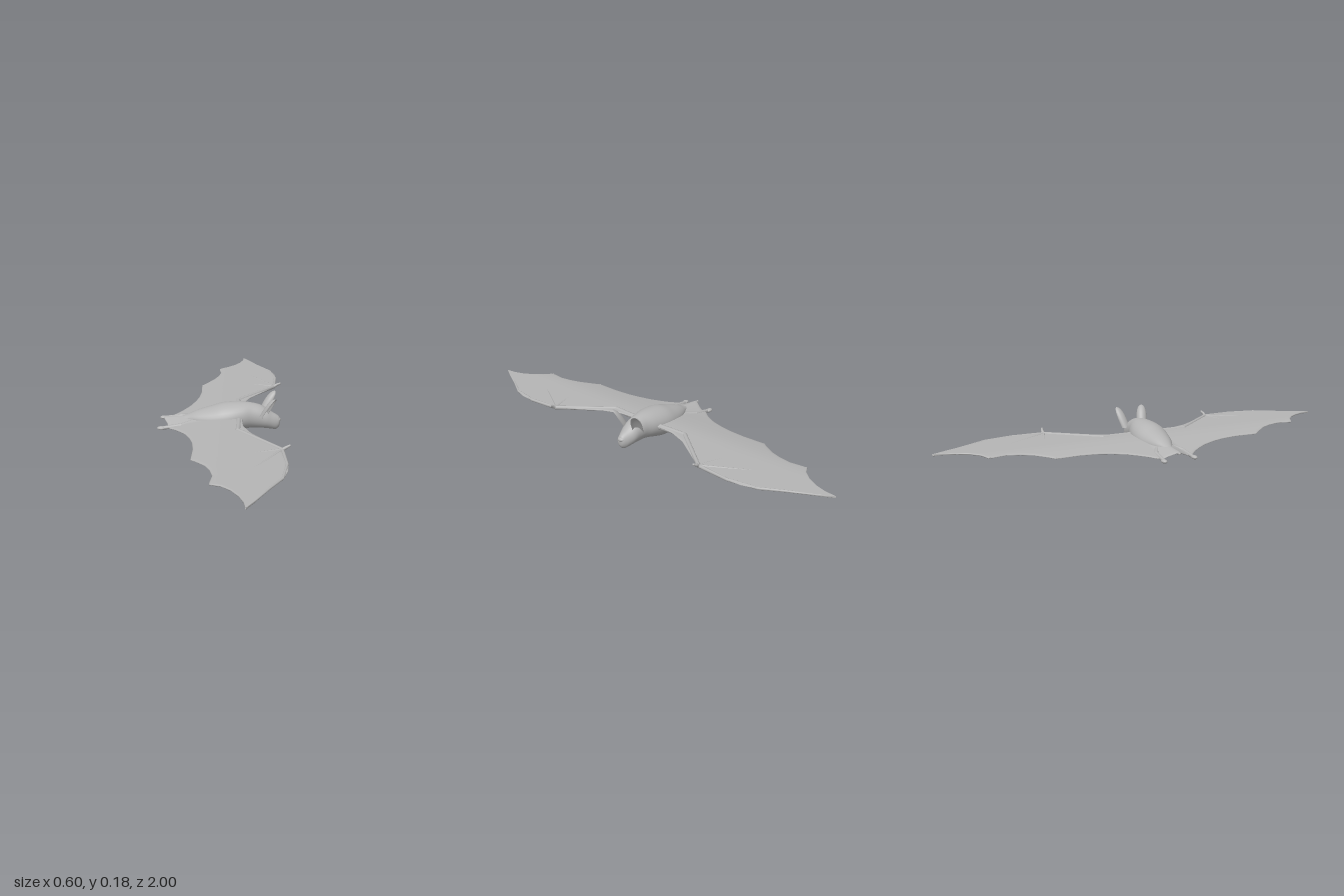
import * as THREE from 'three';

const grey = new THREE.MeshStandardMaterial({ color: 0xb4b4b4, side: THREE.DoubleSide });
grey.name = 'bat grey';

// Closed skin over a list of rings, each with the same number of points
function loft(rings) {
  const n = rings[0].length, pos = rings.flat(2), index = [];
  for (let i = 0; i < rings.length - 1; i++) {
    for (let j = 0; j < n; j++) {
      const a = i * n + j, b = i * n + (j + 1) % n;
      index.push(a, b, a + n, b, b + n, a + n);
    }
  }
  const g = new THREE.BufferGeometry();
  g.setAttribute('position', new THREE.Float32BufferAttribute(pos, 3));
  g.setIndex(index);
  g.computeVertexNormals();
  return g;
}

function add(parent, name, geometry) {
  const mesh = new THREE.Mesh(geometry, grey);
  mesh.name = name;
  parent.add(mesh);
  return mesh;
}

// Linear lookup in a list of [key, value] pairs
function lookup(table, k) {
  let i = 1;
  while (i < table.length - 1 && table[i][0] < k) i++;
  const [k0, v0] = table[i - 1], [k1, v1] = table[i];
  return v0 + (v1 - v0) * THREE.MathUtils.clamp((k - k0) / (k1 - k0), 0, 1);
}

// Tapered bone with rounded joints through a list of points
function bone(parent, name, points, r0, r1) {
  const group = new THREE.Group();
  group.name = name;
  const last = points.length - 1;
  const radius = i => r0 + (r1 - r0) * i / last;
  points.forEach((p, i) => {
    const v = new THREE.Vector3(...p);
    add(group, 'joint', new THREE.SphereGeometry(radius(i), 12, 8)).position.copy(v);
    if (i === last) return;
    const d = new THREE.Vector3(...points[i + 1]).sub(v);
    const shaft = add(group, 'shaft', new THREE.CylinderGeometry(radius(i + 1), radius(i), d.length(), 10, 1, true));
    shaft.position.copy(v).addScaledVector(d, 0.5);
    shaft.quaternion.setFromUnitVectors(new THREE.Vector3(0, 1, 0), d.normalize());
  });
  parent.add(group);
}

// Membrane height: level across the wing, drooping towards the feet, lifted at the tail
function wingY(x, z) {
  const droop = THREE.MathUtils.smoothstep(-x, -0.05, 0.32);
  const tail = Math.max(0, 1 - Math.abs(z) / 0.06);
  return 0.085 - droop * (0.045 - 0.03 * tail);
}

// Wing outline as [distance from the middle, x]
const leading = [[0, 0.1], [0.09, 0.095], [0.16, 0.1], [0.25, 0.135], [0.44, 0.265], [0.47, 0.265],
  [0.53, 0.275], [0.6, 0.28], [0.67, 0.275], [0.735, 0.255], [0.83, 0.2], [0.94, 0.142], [1, 0.107]];
const trailing = [[0, -0.28], [0.04, -0.258], [0.09, -0.245], [0.12, -0.215], [0.155, -0.19], [0.2, -0.163],
  [0.26, -0.14], [0.32, -0.125], [0.4, -0.117], [0.5, -0.12], [0.52, -0.118], [0.54, -0.1], [0.6, -0.057],
  [0.65, -0.036], [0.71, -0.023], [0.77, -0.032], [0.79, -0.03], [0.81, 0.01], [0.85, 0.05], [0.9, 0.08],
  [0.95, 0.098], [1, 0.105]];

function membrane() {
  const rings = [];
  for (let i = -100; i <= 100; i++) {
    const z = i / 100, d = Math.abs(z);
    const front = lookup(leading, d), back = lookup(trailing, d), ring = [];
    for (let j = 0; j < 40; j++) {
      const a = j / 40 * Math.PI * 2;
      const x = (front + back) / 2 + (front - back) / 2 * Math.cos(a);
      ring.push([x, wingY(x, z) + 0.004 * THREE.MathUtils.clamp(Math.sin(a) * 3, -1, 1), z]);
    }
    rings.push(ring);
  }
  return loft(rings);
}

// Body stations: x, top, bottom, half width
function body() {
  const stations = [[-0.22, 0.066, 0.058, 0.006], [-0.17, 0.082, 0.052, 0.024], [-0.13, 0.1, 0.035, 0.045],
    [-0.1, 0.111, 0.021, 0.058], [-0.05, 0.126, 0.006, 0.074], [0, 0.141, 0, 0.082], [0.05, 0.147, 0.005, 0.08],
    [0.1, 0.148, 0.017, 0.068], [0.14, 0.144, 0.023, 0.054], [0.18, 0.134, 0.022, 0.048],
    [0.21, 0.118, 0.021, 0.045], [0.235, 0.1, 0.017, 0.036], [0.255, 0.088, 0.015, 0.027],
    [0.268, 0.078, 0.026, 0.019], [0.274, 0.066, 0.042, 0.009]];
  const side = new THREE.CatmullRomCurve3(stations.map(s => new THREE.Vector3(s[0], s[1], s[2])));
  const width = new THREE.CatmullRomCurve3(stations.map(s => new THREE.Vector3(s[0], s[3], 0)));
  const rings = [];
  for (let i = 0; i <= 70; i++) {
    const p = side.getPoint(i / 70), w = width.getPoint(i / 70).y, ring = [];
    const closed = i === 0 || i === 70 ? 0 : 1;
    for (let j = 0; j < 32; j++) {
      const a = j / 32 * Math.PI * 2;
      ring.push([p.x, (p.y + p.z) / 2 + closed * (p.y - p.z) / 2 * Math.cos(a), closed * w * Math.sin(a)]);
    }
    rings.push(ring);
  }
  return loft(rings);
}

// Cupped ear, opening forward and outward
function ear(side) {
  const rings = [];
  for (let i = 0; i <= 20; i++) {
    const u = i / 20, w = 0.03 * Math.sqrt(Math.max(0.002, 1 - u ** 3)) * (0.85 + 0.2 * u), ring = [];
    for (let j = 0; j < 32; j++) {
      const outer = j < 16;
      const t = (outer ? j / 15 : (31 - j) / 15) * 3.1 - 1.55;
      const r = outer ? w : w * 0.8;
      const f = -r * Math.cos(t), s = w * (outer ? 1 : 0.9) * Math.sin(t);
      ring.push([0.2 + 0.05 * u + 0.85 * f - 0.5 * s, 0.09 + 0.094 * u, side * (0.046 + 0.022 * u + 0.5 * f + 0.8 * s)]);
    }
    rings.push(ring);
  }
  return loft(rings);
}

export function createModel() {
  const bat = new THREE.Group();
  bat.name = 'bat';
  add(bat, 'bodyAndHead', body());
  add(bat, 'wingMembrane', membrane());

  // Snout
  const nose = add(bat, 'nose', new THREE.SphereGeometry(1, 20, 14));
  nose.scale.set(0.018, 0.013, 0.02);
  nose.position.set(0.26, 0.062, 0);

  for (const s of [1, -1]) {
    const side = s > 0 ? 'right' : 'left';
    add(bat, side + 'Ear', ear(s));

    // Arm and thumb
    const wrist = [0.262, 0.086, s * 0.445];
    bone(bat, side + 'Arm', [[0.08, 0.08, s * 0.05], [0.075, 0.084, s * 0.215], wrist], 0.014, 0.009);
    bone(bat, side + 'Thumb', [wrist, [0.278, 0.097, s * 0.446], [0.293, 0.104, s * 0.442]], 0.008, 0.005);

    // Fingers spreading the membrane
    bone(bat, side + 'LeadingFinger', [wrist, [0.274, 0.085, s * 0.6], [0.25, 0.085, s * 0.735],
      [0.195, 0.085, s * 0.83], [0.107, 0.083, s * 0.993]], 0.008, 0.004);
    bone(bat, side + 'MiddleFinger', [wrist, [0.15, 0.084, s * 0.63], [-0.028, wingY(-0.028, 1), s * 0.785]], 0.007, 0.004);
    bone(bat, side + 'InnerFinger', [wrist, [0.09, 0.082, s * 0.5], [-0.115, wingY(-0.115, 1), s * 0.515]], 0.007, 0.004);

    // Leg and foot
    bone(bat, side + 'Leg', [[-0.13, 0.06, s * 0.035], [-0.19, 0.052, s * 0.068], [-0.28, 0.041, s * 0.074]], 0.013, 0.008);
    const foot = add(bat, side + 'Foot', new THREE.SphereGeometry(1, 16, 10));
    foot.scale.set(0.02, 0.009, 0.013);
    foot.position.set(-0.283, 0.041, s * 0.076);
  }

  // Tail
  bone(bat, 'tail', [[-0.18, 0.066, 0], [-0.285, 0.066, 0]], 0.01, 0.006);
  return bat;
}
